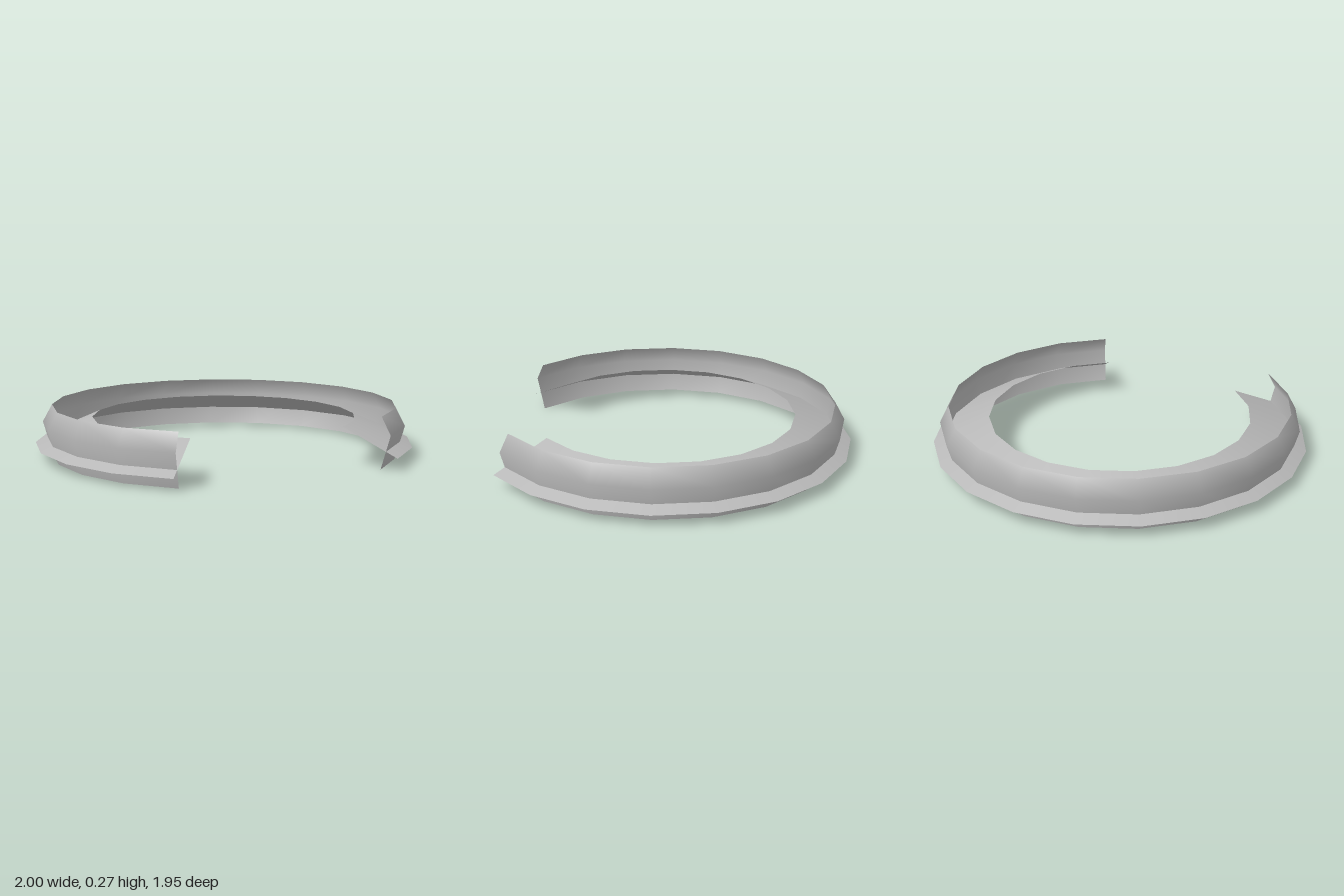
import * as THREE from 'three';

const STEP = Math.PI / 10; // one side of a 20-sided ring
const SIDES = 16; // sides present; four are left open at the front

// Open ring swept from a [radius, height] profile
function openRing(name, profile, material) {
  const points = profile.map(([r, y]) => new THREE.Vector2(r, y));
  const mesh = new THREE.Mesh(
    new THREE.LatheGeometry(points, SIDES, STEP, SIDES * STEP),
    material
  );
  mesh.name = name;
  mesh.position.z = 0.0245;
  return mesh;
}

export function createModel() {
  const group = new THREE.Group();
  group.name = 'openCollar';

  const grey = new THREE.MeshStandardMaterial({ color: 0xb8b8b8, side: THREE.DoubleSide });
  grey.name = 'grey';

  // Upright band, bulging above its middle
  group.add(openRing('band', [[0.91, 0], [0.96, 0.176], [0.91, 0.267]], grey));

  // Sloping flange that passes through the band
  group.add(openRing('flange', [[1, 0.065], [0.7, 0.198]], grey));

  return group;
}
